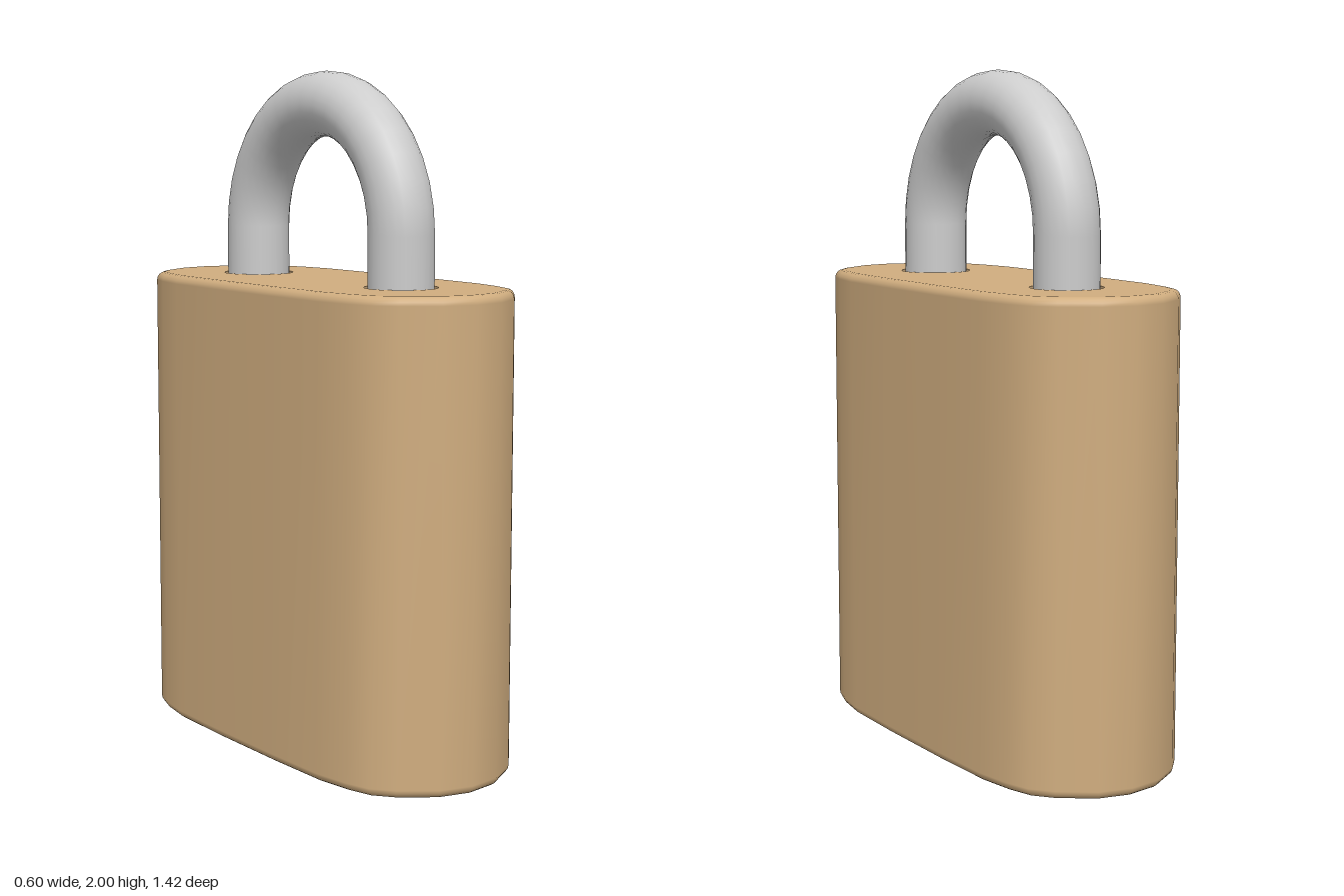
import * as THREE from 'three';

const brass = new THREE.MeshStandardMaterial({ color: 0xd0ad7f });
brass.name = 'brass';
const brassInside = new THREE.MeshStandardMaterial({ color: 0xd0ad7f, side: THREE.DoubleSide });
brassInside.name = 'brass inside';
const steel = new THREE.MeshStandardMaterial({ color: 0xcccccc });
steel.name = 'steel';
const coreGrey = new THREE.MeshStandardMaterial({ color: 0xb0b0b0 });
coreGrey.name = 'core grey';
const keyDark = new THREE.MeshStandardMaterial({ color: 0x5c4a2e });
keyDark.name = 'keyway dark';

const TOP = 1.39, BASE = 0.004, BEVEL = 0.025;
const LEG_Z = 0.369, LEG_R = 0.095, HOLE_R = 0.106, HOLE_DEPTH = 0.12, ARC_Y = 1.536;

function add(parent, name, geometry, material, x = 0, y = 0, z = 0) {
  const mesh = new THREE.Mesh(geometry, material);
  mesh.name = name;
  mesh.position.set(x, y, z);
  parent.add(mesh);
  return mesh;
}

// Oval outline as [x, z], from one quarter mirrored both ways
function outline() {
  const quarter = [[0.3, 0], [0.3, 0.15], [0.294, 0.377], [0.275, 0.49], [0.25, 0.567],
    [0.2, 0.625], [0.1, 0.692], [0, 0.712]];
  const half = [...quarter, ...quarter.slice(0, -1).reverse().map(([x, z]) => [-x, z])];
  return [...half, ...half.slice(1, -1).reverse().map(([x, z]) => [x, -z])];
}

// Move the outline inwards along its own normals
function inset(points, d) {
  const n = points.length;
  return points.map(([x, z], i) => {
    const [ax, az] = points[(i + n - 1) % n], [bx, bz] = points[(i + 1) % n];
    const len = Math.hypot(bx - ax, bz - az);
    return [x - d * (bz - az) / len, z + d * (bx - ax) / len];
  });
}

// Wall with rounded top and bottom edges, built from stacked rings
function wallGeometry(points) {
  const steps = 4, rings = [];
  for (let k = 0; k <= steps; k++) {
    const a = (k / steps) * Math.PI / 2;
    rings.push([BEVEL * (1 - Math.sin(a)), BASE + BEVEL * (1 - Math.cos(a))]);
  }
  for (let k = steps; k >= 0; k--) rings.push([rings[k][0], TOP + BASE - rings[k][1]]);

  const n = points.length, position = [], index = [];
  rings.forEach(([d, y], j) => {
    inset(points, d).forEach(([x, z], i) => {
      position.push(x, y, z);
      if (j === rings.length - 1) return;
      const a = j * n + i, b = j * n + (i + 1) % n;
      index.push(a, a + n, b, b, a + n, b + n);
    });
  });
  const geometry = new THREE.BufferGeometry();
  geometry.setAttribute('position', new THREE.Float32BufferAttribute(position, 3));
  geometry.setIndex(index);
  geometry.computeVertexNormals();
  return geometry;
}

function shapeOf(points) {
  return new THREE.Shape(points.map(([x, z]) => new THREE.Vector2(x, z)));
}

export function createModel() {
  const model = new THREE.Group();
  model.name = 'padlock';

  // Body
  const body = new THREE.Group();
  body.name = 'body';
  model.add(body);
  const points = outline();
  const capPoints = inset(points, BEVEL);
  add(body, 'bodyWall', wallGeometry(points), brass);
  add(body, 'bodyBottom', new THREE.ShapeGeometry(shapeOf(capPoints)).rotateX(Math.PI / 2), brass, 0, BASE, 0);

  const topShape = shapeOf(capPoints);
  for (const s of [-1, 1]) {
    topShape.holes.push(new THREE.Path().absarc(0, s * LEG_Z, HOLE_R, 0, Math.PI * 2, true));
  }
  add(body, 'bodyTop', new THREE.ShapeGeometry(topShape, 12).rotateX(-Math.PI / 2), brass, 0, TOP, 0);

  // Shackle bow
  const shackle = new THREE.Group();
  shackle.name = 'shackle';
  model.add(shackle);
  add(shackle, 'shackleBow', new THREE.TorusGeometry(LEG_Z, LEG_R, 24, 18, Math.PI).rotateY(Math.PI / 2), steel, 0, ARC_Y, 0);

  // Shackle legs and the sockets they sit in
  const floor = TOP - HOLE_DEPTH, legHeight = ARC_Y - floor;
  for (const s of [-1, 1]) {
    add(shackle, 'shackleLeg', new THREE.CylinderGeometry(LEG_R, LEG_R, legHeight, 24, 1, true),
      steel, 0, floor + legHeight / 2, s * LEG_Z);
    add(body, 'socketWall', new THREE.CylinderGeometry(HOLE_R, HOLE_R, HOLE_DEPTH, 24, 1, true),
      brassInside, 0, TOP - HOLE_DEPTH / 2, s * LEG_Z);
    add(body, 'socketFloor', new THREE.CircleGeometry(HOLE_R, 24).rotateX(-Math.PI / 2),
      brass, 0, floor, s * LEG_Z);
  }

  // Lock core with a stepped keyway on the underside
  add(model, 'lockCore', new THREE.CylinderGeometry(0.23, 0.23, 0.004, 32), coreGrey, 0, 0.004, 0);
  const keyway = shapeOf([[0.03, 0.15], [0.008, 0.15], [0.005, 0.04], [-0.022, 0], [-0.022, -0.06],
    [-0.006, -0.085], [-0.006, -0.15], [0.018, -0.15], [0.018, -0.07], [0.006, -0.04], [0.03, 0.01]]);
  add(model, 'keyway', new THREE.ShapeGeometry(keyway).rotateX(Math.PI / 2), keyDark);

  return model;
}
